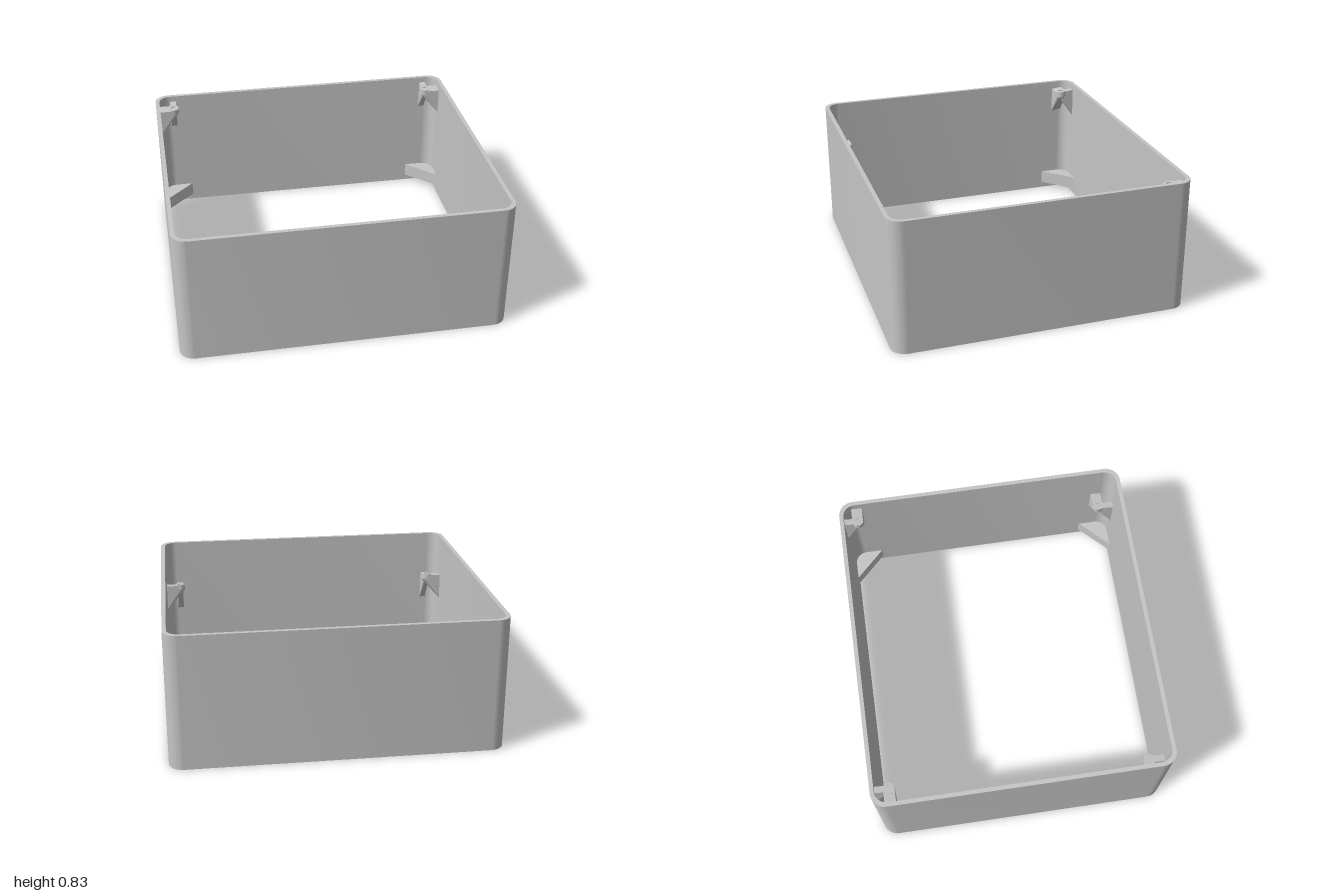
import * as THREE from 'three';
import { toCreasedNormals } from 'three/addons/utils/BufferGeometryUtils.js';
import { ConvexGeometry } from 'three/addons/geometries/ConvexGeometry.js';

const W = 1, D = 0.911, H = 0.83, WALL = 0.025, R = 0.09;
const BOSS_X = 0.883, BOSS_Z = 0.793, BOSS_R = 0.034, HOLE_R = 0.018;
const SLOPE = 0.137; // panel mounts fall towards the front

// rounded rectangle outline, half sizes w and d
function roundedRect(w, d, r, Type = THREE.Shape) {
  const s = new Type();
  s.moveTo(w, -d + r);
  s.absarc(w - r, d - r, r, 0, Math.PI / 2);
  s.absarc(-w + r, d - r, r, Math.PI / 2, Math.PI);
  s.absarc(-w + r, -d + r, r, Math.PI, Math.PI * 1.5);
  s.absarc(w - r, -d + r, r, Math.PI * 1.5, Math.PI * 2);
  return s;
}

// extrude an outline drawn in x and -z upwards from y0 to y1
function slab(shape, y0, y1) {
  const g = new THREE.ExtrudeGeometry(shape, { depth: y1 - y0, bevelEnabled: false, curveSegments: 16 });
  g.rotateX(-Math.PI / 2);
  g.translate(0, y0, 0);
  return toCreasedNormals(g, 0.5);
}

function circle(x, y, r) {
  return new THREE.Path().absarc(x, y, r, 0, Math.PI * 2, true);
}

export function createModel() {
  const model = new THREE.Group();
  model.name = 'enclosureFrame';
  const grey = new THREE.MeshStandardMaterial({ color: 0xc6c6c6 });
  grey.name = 'light grey plastic';
  const add = (parent, name, geometry) => {
    const mesh = new THREE.Mesh(geometry, grey);
    mesh.name = name;
    parent.add(mesh);
    return mesh;
  };

  // open wall ring
  const ring = roundedRect(W, D, R);
  ring.holes.push(roundedRect(W - WALL, D - WALL, R - 0.014, THREE.Path));
  add(model, 'walls', slab(ring, 0, H));

  for (const sx of [-1, 1]) for (const sz of [-1, 1]) {
    const side = (sz > 0 ? 'front' : 'back') + (sx > 0 ? 'Left' : 'Right');

    // bottom corner gusset with a blind screw hole underneath
    const gusset = new THREE.Group();
    gusset.name = side + 'Gusset';
    const outline = () => new THREE.Shape([
      [0.98, 0.695], [0.98, 0.84], [0.957, 0.87], [0.93, 0.89], [0.785, 0.89],
    ].map(([x, z]) => new THREE.Vector2(sx * x, -sz * z)));
    const lower = outline();
    lower.holes.push(circle(sx * 0.912, -sz * 0.823, 0.014));
    add(gusset, 'gussetLower', slab(lower, 0.04, 0.09));
    add(gusset, 'gussetUpper', slab(outline(), 0.09, 0.127));
    model.add(gusset);

    // panel mount: two ramped legs reaching from the walls to a screw boss
    const mount = new THREE.Group();
    mount.name = side + 'Mount';
    const x0 = sx * BOSS_X, z0 = sz * BOSS_Z - 0.008;
    const top = sz > 0 ? 0.55 : 0.78;
    const point = (x, z, drop) => new THREE.Vector3(x, top - (z - z0) * SLOPE - drop, z);
    const tip = (r) => {
      const pts = [];
      for (let i = 0; i < 20; i++) {
        const a = (i / 20) * Math.PI * 2;
        for (const drop of [0, 0.03]) pts.push(point(x0 + r * Math.cos(a), z0 + r * Math.sin(a), drop));
      }
      return pts;
    };
    const sideLeg = tip(BOSS_R), endLeg = tip(0.02);
    for (const k of [-1, 1]) for (const low of [0, 1]) {
      sideLeg.push(point(sx * 0.985, z0 + k * 0.034, low * 0.18));
      endLeg.push(point(x0 + k * 0.02, sz * 0.895, low * 0.2));
    }
    add(mount, 'sideLeg', new ConvexGeometry(sideLeg));
    add(mount, 'endLeg', new ConvexGeometry(endLeg));

    // slightly raised rim around the screw hole, square to the sloping panel
    const rim = new THREE.Shape().absarc(0, 0, BOSS_R, 0, Math.PI * 2, false);
    rim.holes.push(circle(0, 0, HOLE_R));
    const boss = add(mount, 'screwBoss', slab(rim, -0.02, 0.006));
    boss.position.set(x0, top, z0);
    boss.rotation.x = Math.atan(SLOPE);
    model.add(mount);
  }
  return model;
}
